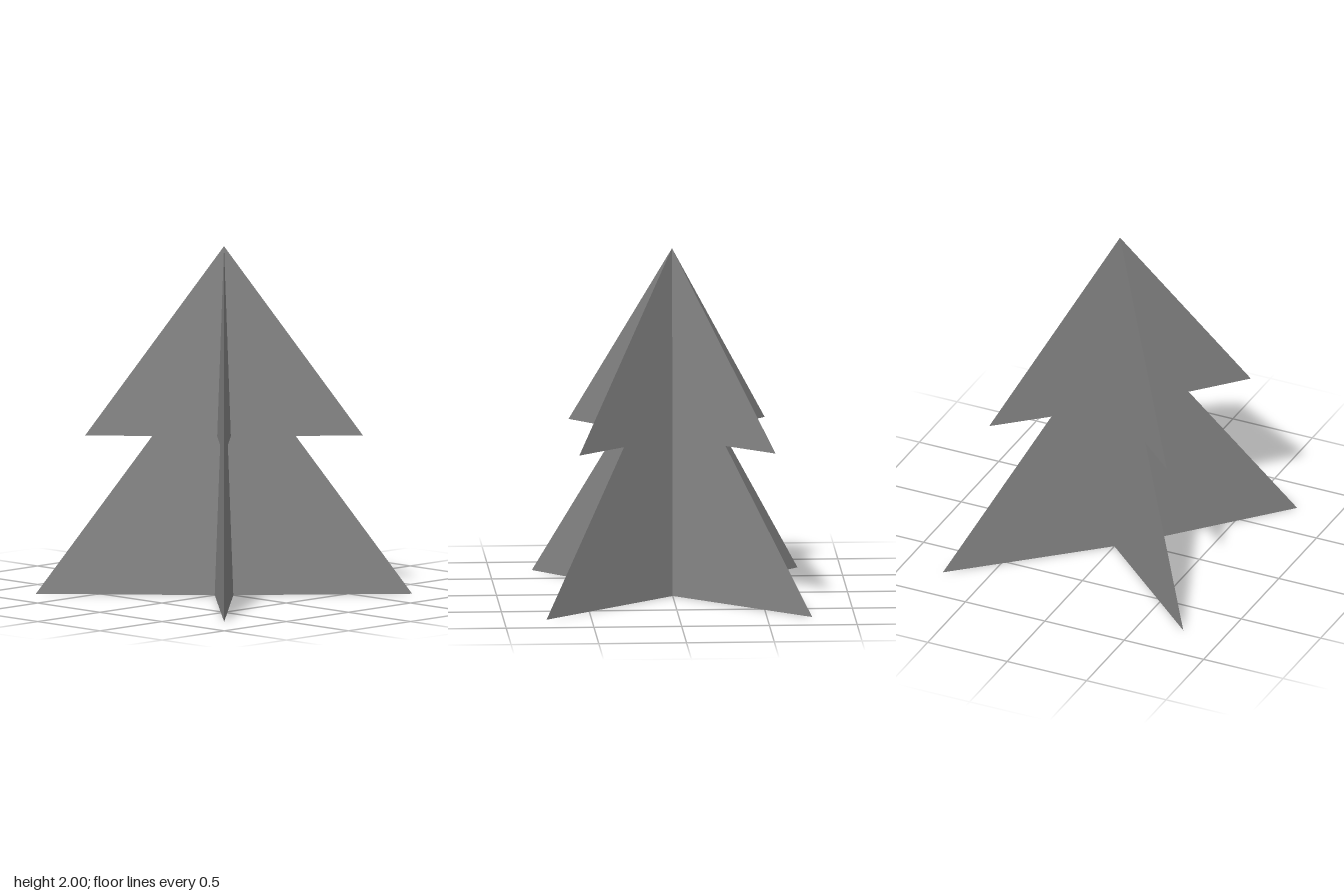
import * as THREE from 'three';

const material = new THREE.MeshStandardMaterial({ color: 0x848484, flatShading: true });

// Four-pointed star pyramid: an eight-sided cone whose axis-aligned corners are pulled inward
function starTier(name, baseY, topY, tip, valley) {
  const height = topY - baseY;
  const cone = new THREE.ConeGeometry(1, height, 8, 1);
  const pos = cone.attributes.position;
  for (let i = 0; i < pos.count; i++) {
    const x = pos.getX(i), z = pos.getZ(i);
    const isTip = Math.abs(x * z) > 0.1;
    const scale = isTip ? tip * Math.SQRT2 : valley;
    pos.setX(i, x * scale);
    pos.setZ(i, z * scale);
  }
  const geometry = cone.toNonIndexed();
  geometry.computeVertexNormals();
  const mesh = new THREE.Mesh(geometry, material);
  mesh.name = name;
  mesh.position.y = baseY + height / 2;
  return mesh;
}

export function createModel() {
  const tree = new THREE.Group();
  tree.name = 'tree';
  tree.add(
    starTier('lowerBranches', 0, 1.467, 0.757, 0.075),
    starTier('upperBranches', 0.911, 2, 0.559, 0.055),
  );
  return tree;
}
